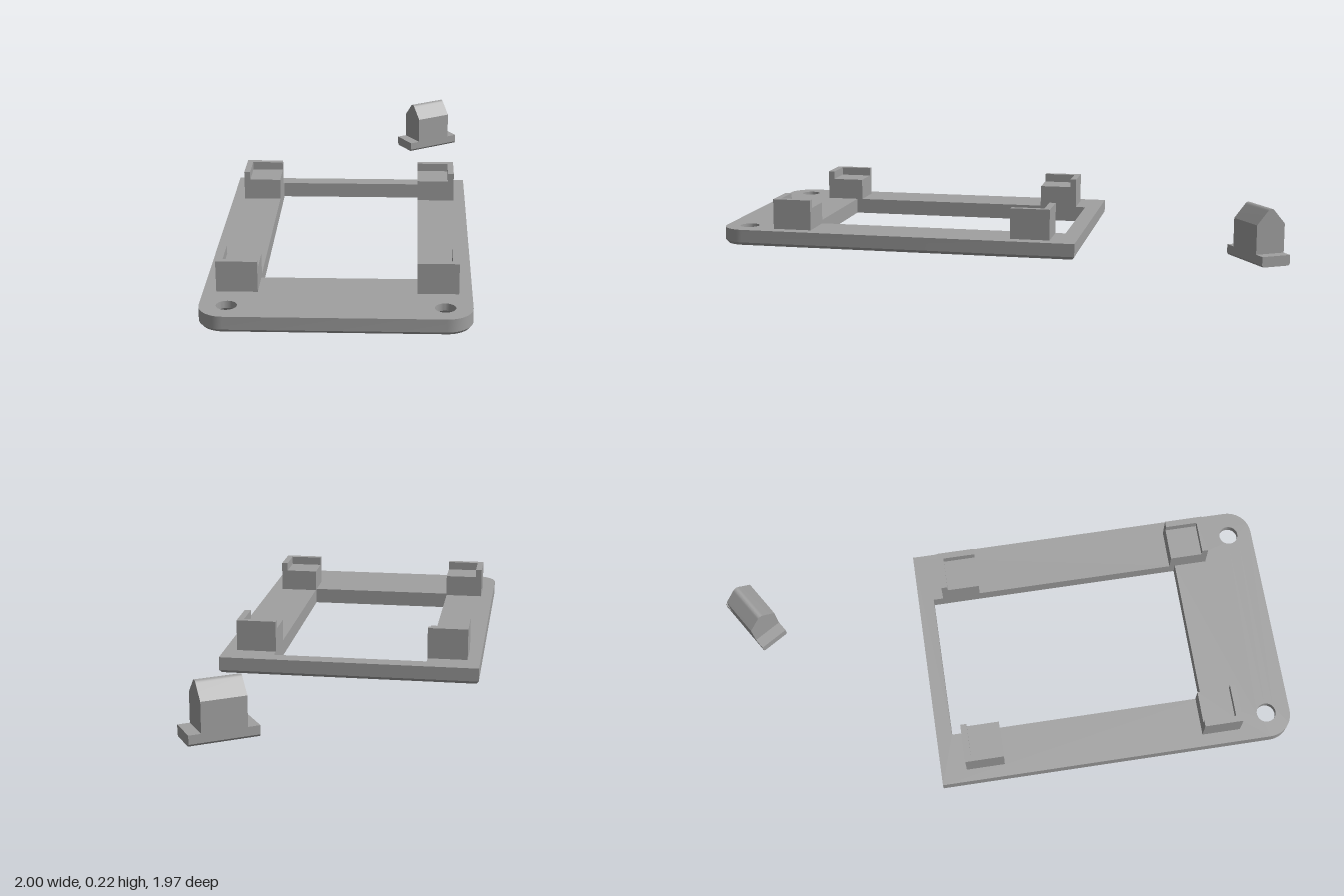
import * as THREE from 'three';
import { mergeGeometries, toCreasedNormals } from 'three/addons/utils/BufferGeometryUtils.js';

const W = 1.034, L = 1.49, TOP = 0.065;   // plate width, length, thickness
const R = 0.1, SCREW = [[0.105, 1.39], [W - 0.105, 1.39]];

// plate outline: square back corners, round front corners, shrunk by an inset
function outline(inset) {
  const pts = [[inset, inset], [W - inset, inset]];
  const r = R - inset;
  for (const start of [0, Math.PI / 2]) {
    const cu = start ? R : W - R;
    for (let i = 0; i <= 12; i++) {
      const a = start + (i / 12) * Math.PI / 2;
      pts.push([cu + r * Math.cos(a), L - R + r * Math.sin(a)]);
    }
  }
  return pts;
}

// clockwise loop, so that its wall faces into the hole
function circle([u, v], r, n = 32) {
  return Array.from({ length: n }, (_, i) => {
    const a = -(i / n) * Math.PI * 2;
    return [u + r * Math.cos(a), v + r * Math.sin(a)];
  });
}

// band of quads between a lower and an upper loop
function wall(low, y0, high, y1) {
  const p = [];
  low.forEach((a, i) => {
    const j = (i + 1) % low.length;
    const b = low[j], c = high[i], d = high[j];
    p.push(a[0], y0, a[1], c[0], y1, c[1], b[0], y0, b[1]);
    p.push(b[0], y0, b[1], c[0], y1, c[1], d[0], y1, d[1]);
  });
  return new THREE.BufferGeometry().setAttribute('position', new THREE.Float32BufferAttribute(p, 3));
}

// flat face with holes, facing up (s = 1) or down (s = -1)
function cap(outer, holes, y, s) {
  const vec = (loop) => loop.map(([u, v]) => new THREE.Vector2(u, -s * v));
  const shape = new THREE.Shape(vec(outer));
  shape.holes = holes.map((h) => new THREE.Path(vec(h)));
  const g = new THREE.ShapeGeometry(shape).toNonIndexed();
  g.rotateX(-s * Math.PI / 2).translate(0, y, 0);
  g.deleteAttribute('uv');
  g.deleteAttribute('normal');
  return g;
}

function plateGeometry() {
  const full = outline(0), foot = outline(0.01);
  const opening = [[0.21, 0.065], [0.21, 1.13], [W - 0.21, 1.13], [W - 0.21, 0.065]];
  const small = SCREW.map((c) => circle(c, 0.04));
  const wide = SCREW.map((c) => circle(c, 0.075));
  const parts = [
    cap(full, [opening, ...small], TOP, 1),
    cap(foot, [opening, ...wide], 0, -1),
    wall(foot, 0, full, 0.012),
    wall(full, 0.012, full, TOP),
    wall(opening, 0, opening, TOP),
  ];
  // countersunk screw holes
  small.forEach((s, i) => parts.push(wall(wide[i], 0, s, 0.035), wall(s, 0.035, s, TOP)));
  return toCreasedNormals(mergeGeometries(parts), 0.5);
}

// box given by its lowest and highest corner
function block(x0, y0, z0, x1, y1, z1) {
  return new THREE.BoxGeometry(x1 - x0, y1 - y0, z1 - z0)
    .translate((x0 + x1) / 2, (y0 + y1) / 2, (z0 + z1) / 2);
}

// corner clip: a seat with a lip along its two outer sides
function clipGeometry(sx, sz) {
  const h = 0.08, t = 0.026;
  const lipX = sx * (h - t / 2), lipZ = sz * (h - t / 2);
  return mergeGeometries([
    block(-h, TOP, -h, h, 0.155, h),
    block(lipX - t / 2, 0.155, -h, lipX + t / 2, 0.19, h),
    block(-h - Math.min(0, sx) * t, 0.155, lipZ - t / 2, h - Math.max(0, sx) * t, 0.19, lipZ + t / 2),
  ]);
}

// profile in z and y, swept along x and centred
function sweep(shape, length) {
  return toCreasedNormals(
    new THREE.ExtrudeGeometry(shape, { depth: length, bevelEnabled: false, curveSegments: 8 })
      .translate(0, 0, -length / 2).rotateY(Math.PI / 2), 0.5);
}

export function createModel() {
  const grey = new THREE.MeshStandardMaterial({ color: 0xa0a0a0 });
  grey.name = 'grey plastic';
  const model = new THREE.Group();
  model.name = 'mountingFrame';
  const add = (parent, name, geometry) => {
    const mesh = new THREE.Mesh(geometry, grey);
    mesh.name = name;
    parent.add(mesh);
    return mesh;
  };

  // frame, turned on the ground
  const frame = new THREE.Group();
  frame.name = 'frame';
  frame.position.set(-0.25, 0, -0.788);
  frame.rotation.y = -0.562;
  model.add(frame);
  add(frame, 'plate', plateGeometry());
  for (const sx of [-1, 1]) for (const sz of [-1, 1]) {
    const name = (sz < 0 ? 'back' : 'front') + (sx < 0 ? 'Right' : 'Left') + 'Clip';
    add(frame, name, clipGeometry(sx, sz))
      .position.set(W / 2 + sx * (W / 2 - 0.131), 0, sz < 0 ? 0.187 : 1.186);
  }

  // loose peg with a pointed, slightly rounded top
  const peg = new THREE.Group();
  peg.name = 'peg';
  peg.position.set(0.865, 0, -0.925);
  model.add(peg);
  const z = 0.062;
  const body = new THREE.Shape();
  body.moveTo(-z, 0.04);
  body.lineTo(z, 0.04);
  body.lineTo(z, 0.158);
  body.lineTo(0.016, 0.21);
  body.quadraticCurveTo(0, 0.23, -0.016, 0.21);
  body.lineTo(-z, 0.158);
  add(peg, 'pegBody', sweep(body, 0.172));
  const foot = new THREE.Shape([[-z + 0.006, 0], [z - 0.006, 0], [z, 0.008], [z, 0.042], [-z, 0.042], [-z, 0.008]]
    .map(([a, b]) => new THREE.Vector2(a, b)));
  add(peg, 'pegBase', sweep(foot, 0.265));

  return model;
}
